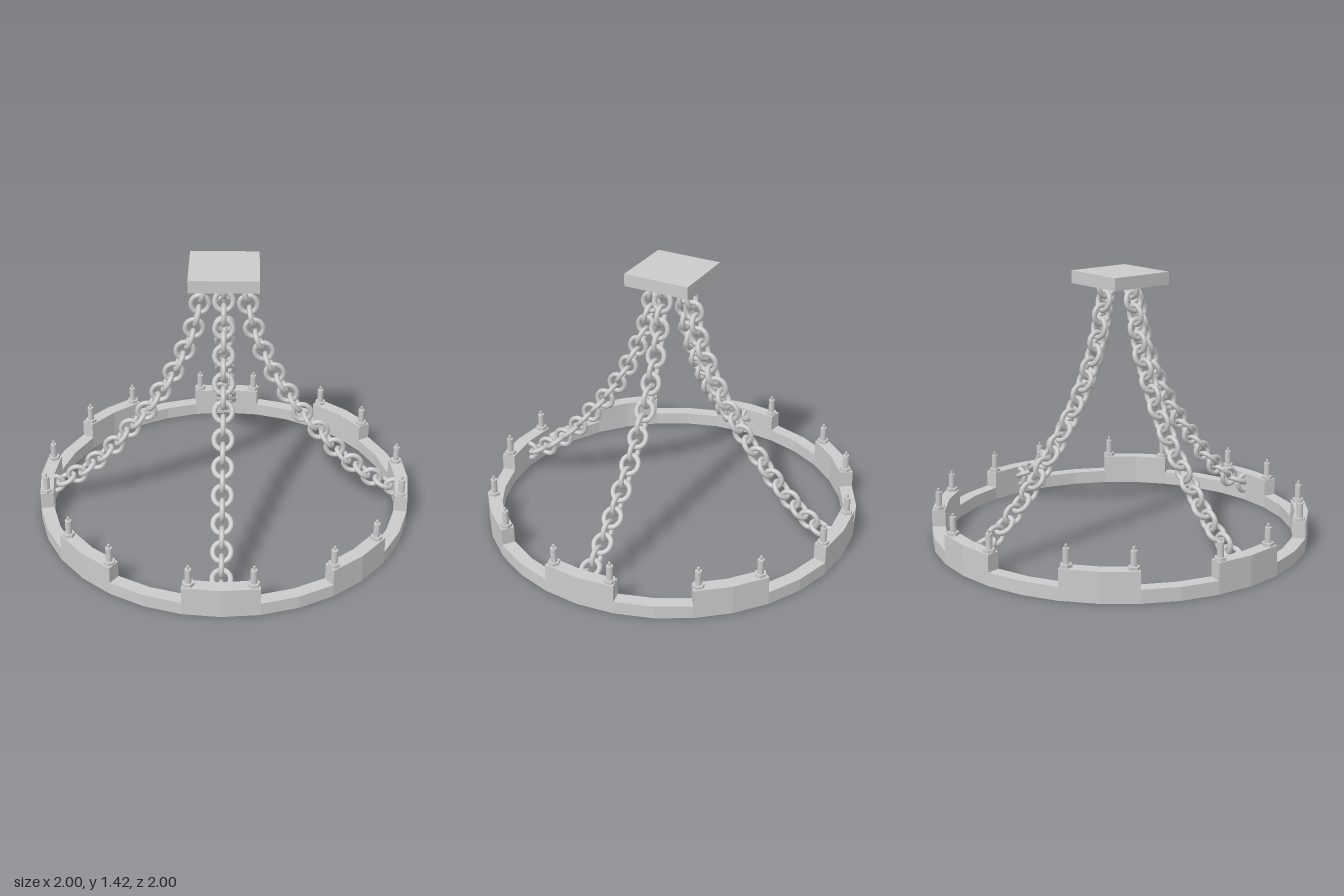
import * as THREE from 'three';

const grey = new THREE.MeshStandardMaterial({ color: 0xcccccc });
const flat = new THREE.MeshStandardMaterial({ color: 0xcccccc, flatShading: true });
const OUTER = 1, INNER = 0.93, BAND = 0.07, RAISED = 0.16;
const STEP = Math.PI / 16; // one facet of the 32-sided hoop

function add(parent, name, geometry, material, x = 0, y = 0, z = 0) {
  const mesh = new THREE.Mesh(geometry, material);
  mesh.name = name;
  mesh.position.set(x, y, z);
  parent.add(mesh);
  return mesh;
}

// Points along a faceted arc, one per hoop corner
function arc(radius, from, count) {
  return Array.from({ length: count + 1 }, (_, i) => {
    const a = (from + i) * STEP;
    return new THREE.Vector2(radius * Math.cos(a), radius * Math.sin(a));
  });
}

function extrudeUp(shape, height) {
  return new THREE.ExtrudeGeometry(shape, { depth: height, bevelEnabled: false }).rotateX(-Math.PI / 2);
}

// Low hoop with eight raised blocks
function createHoop() {
  const hoop = new THREE.Group();
  hoop.name = 'hoop';
  const ring = new THREE.Shape(arc(OUTER, 0, 31));
  ring.holes.push(new THREE.Path(arc(INNER, 0, 31)));
  add(hoop, 'band', extrudeUp(ring, BAND), flat);

  const block = new THREE.Shape([...arc(OUTER, -1, 2), ...arc(INNER, -1, 2).reverse()]);
  const blockGeometry = extrudeUp(block, RAISED - BAND);
  for (let k = 0; k < 8; k++) {
    add(hoop, 'raisedBlock', blockGeometry, flat, 0, BAND, 0).rotation.y = k * Math.PI / 4;
  }
  return hoop;
}

// Candle holder: hexagonal nut, candle and thin wick
const nutGeometry = new THREE.CylinderGeometry(0.031, 0.031, 0.016, 6);
const candleGeometry = new THREE.CylinderGeometry(0.017, 0.017, 0.08, 12);
const wickGeometry = new THREE.CylinderGeometry(0.007, 0.007, 0.025, 8);
function createCandle(angle) {
  const candle = new THREE.Group();
  candle.name = 'candle';
  add(candle, 'nut', nutGeometry, flat, 0, 0.008, 0);
  add(candle, 'stem', candleGeometry, grey, 0, 0.053, 0);
  add(candle, 'wick', wickGeometry, grey, 0, 0.1, 0);
  candle.position.set(0.963 * Math.cos(angle), RAISED, 0.963 * Math.sin(angle));
  candle.rotation.y = -angle;
  return candle;
}

// Sagging chain in the xy plane; every second link is turned a quarter
const chainPath = new THREE.CatmullRomCurve3([
  [0.09, 1.345], [0.125, 1.2], [0.16, 1.05], [0.212, 0.92], [0.277, 0.785], [0.355, 0.657],
  [0.43, 0.55], [0.515, 0.45], [0.61, 0.335], [0.705, 0.243], [0.805, 0.163], [0.93, 0.1],
].map(([x, y]) => new THREE.Vector3(x, y, 0)));
const linkGeometry = new THREE.TorusGeometry(0.046, 0.0135, 8, 20).scale(1.06, 1, 1);
function createChain() {
  const chain = new THREE.Group();
  chain.name = 'chain';
  const last = 22;
  for (let i = 0; i <= last; i++) {
    const p = chainPath.getPointAt(i / last), t = chainPath.getTangentAt(i / last);
    const link = add(chain, 'link', linkGeometry, grey, p.x, p.y, 0);
    link.rotation.set(i % 2 ? Math.PI / 2 : 0, 0, Math.atan2(t.y, t.x), 'ZYX');
  }
  return chain;
}

export function createModel() {
  const model = new THREE.Group();
  model.name = 'chandelier';
  add(model, 'ceilingPlate', new THREE.BoxGeometry(0.356, 0.066, 0.356), flat, 0, 1.387, 0);
  model.add(createHoop());
  for (let k = 0; k < 8; k++) {
    for (const side of [-1, 1]) model.add(createCandle(k * Math.PI / 4 + side * 0.167));
  }
  for (let k = 0; k < 4; k++) {
    const chain = createChain();
    chain.rotation.y = k * Math.PI / 2;
    model.add(chain);
  }
  return model;
}
